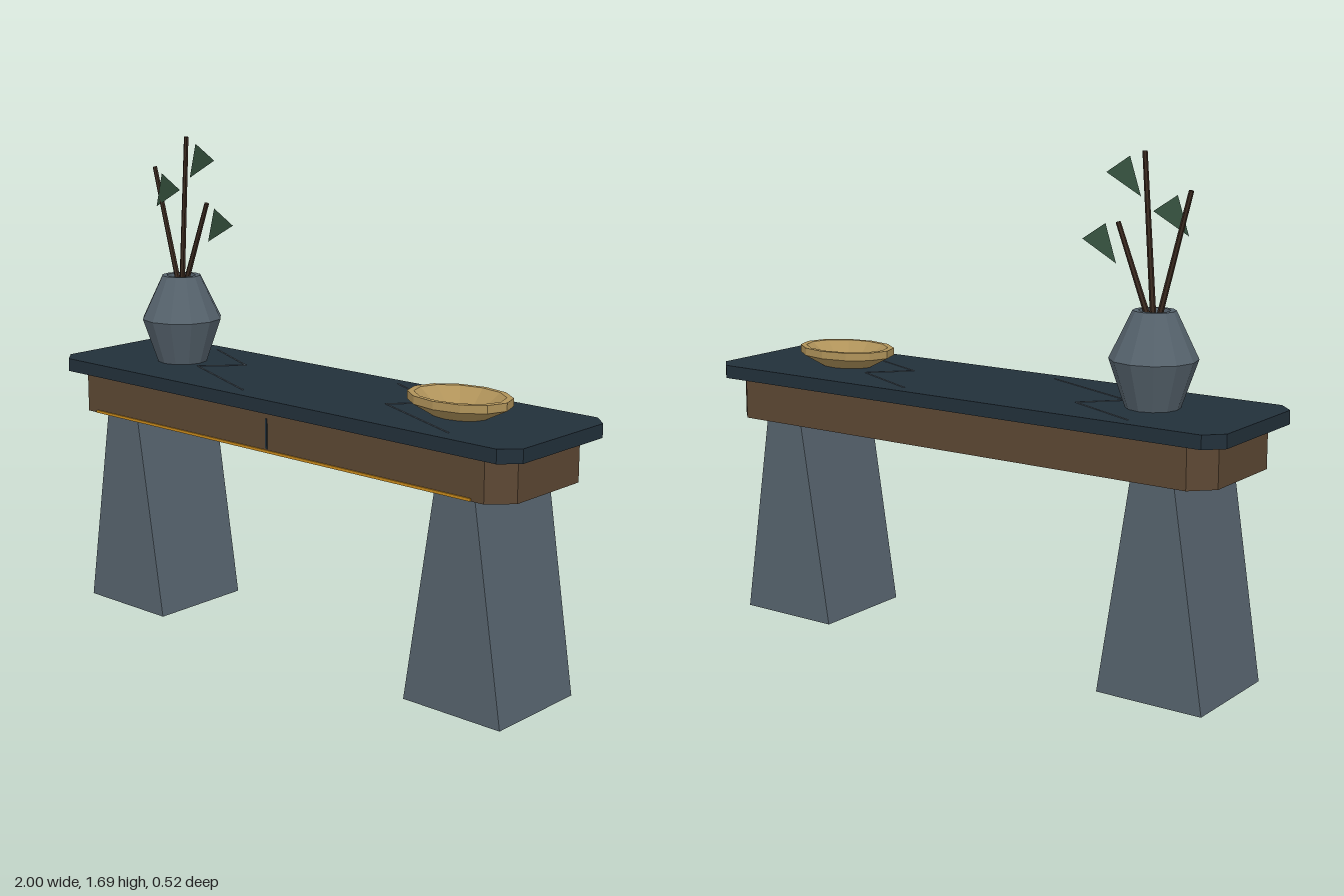
import * as THREE from 'three';

const mat = (name, color, extra = {}) => {
  const m = new THREE.MeshStandardMaterial({ color, ...extra });
  m.name = name;
  return m;
};

export function createModel() {
  const root = new THREE.Group();
  root.name = 'consoleTable';
  const flat = { flatShading: true };
  const slate = mat('slate', 0x56636d, flat);
  const navy = mat('darkTop', 0x22303a, flat);
  const wood = mat('wood', 0x5c4733, flat);
  const brass = mat('brass', 0xb0935a, { flatShading: true, side: THREE.DoubleSide });
  const amber = mat('amberTrim', 0xc98a1b, flat);
  const twigBrown = mat('twigBrown', 0x3a2a20, flat);
  const leafGreen = mat('leafGreen', 0x36523f, { flatShading: true, side: THREE.DoubleSide });

  const add = (name, geo, material, x = 0, y = 0, z = 0, parent = root) => {
    const m = new THREE.Mesh(geo, material);
    m.name = name;
    m.position.set(x, y, z);
    parent.add(m);
    return m;
  };

  // Slab with cut corners, standing on y = 0
  const slab = (hx, hz, cut, height) => {
    const pts = [
      [hx - cut, -hz], [hx, cut - hz], [hx, hz - cut], [hx - cut, hz],
      [cut - hx, hz], [-hx, hz - cut], [-hx, cut - hz], [cut - hx, -hz],
    ].map(([x, y]) => new THREE.Vector2(x, y));
    return new THREE.ExtrudeGeometry(new THREE.Shape(pts), { depth: height, bevelEnabled: false })
      .rotateX(-Math.PI / 2);
  };
  add('tableTop', slab(1, 0.26, 0.055, 0.045), navy, 0, 0.85, 0);
  add('apron', slab(0.95, 0.228, 0.07, 0.14), wood, 0, 0.71, 0);

  // Front trim and drawer gap
  add('frontTrim', new THREE.BoxGeometry(1.666, 0.009, 0.008), amber, 0, 0.715, 0.229);
  add('drawerGap', new THREE.BoxGeometry(0.008, 0.1, 0.006), navy, 0, 0.774, 0.228);

  // Wedge legs, tapering along x only
  const legShape = new THREE.Shape(
    [[-0.188, 0], [0.188, 0], [0.076, 0.71], [-0.076, 0.71]].map(([x, y]) => new THREE.Vector2(x, y)));
  for (const [name, side] of [['leftLeg', 1], ['rightLeg', -1]]) {
    const geo = new THREE.ExtrudeGeometry(legShape, { depth: 0.38, bevelEnabled: false });
    add(name, geo.translate(0, 0, -0.19), slate, side * 0.742, 0, 0);
  }

  // Zigzag inlay lines on the top
  const zigzag = [[0.19, -0.21], [0.46, -0.082], [0.345, 0.04], [0.725, 0.202]];
  for (const shift of [0, -0.857]) {
    const inlay = new THREE.Group();
    inlay.name = 'zigzagInlay';
    root.add(inlay);
    for (let i = 0; i < 3; i++) {
      const [[x0, z0], [x1, z1]] = [zigzag[i], zigzag[i + 1]];
      const line = add('inlayLine', new THREE.BoxGeometry(Math.hypot(x1 - x0, z1 - z0), 0.003, 0.005),
        slate, (x0 + x1) / 2 + shift, 0.8955, (z0 + z1) / 2, inlay);
      line.rotation.y = -Math.atan2(z1 - z0, x1 - x0);
    }
  }

  // Faceted vase and oval bowl
  const lathe = (pts) => new THREE.LatheGeometry(pts.map(([r, y]) => new THREE.Vector2(r, y)), 12);
  add('vase', lathe([[0, 0], [0.088, 0], [0.141, 0.153], [0.068, 0.305], [0.05, 0.305], [0.04, 0.22], [0, 0.22]]),
    slate, -0.63, 0.895, 0);
  add('bowl', lathe([[0, 0], [0.1, 0], [0.18, 0.04], [0.18, 0.066], [0.157, 0.066], [0.095, 0.018], [0, 0.018]]),
    brass, 0.61, 0.895, 0).scale.z = 0.745;

  // Twigs rising from the vase
  const base = new THREE.Vector3(-0.63, 1.116, 0);
  for (const tip of [[-0.743, 1.572, 0.012], [-0.575, 1.685, 0.018], [-0.489, 1.463, 0.008]]) {
    const end = new THREE.Vector3(...tip);
    const dir = end.clone().sub(base);
    const mid = base.clone().add(end).multiplyScalar(0.5);
    const twig = add('twig', new THREE.CylinderGeometry(0.008, 0.01, dir.length(), 6), twigBrown, mid.x, mid.y, mid.z);
    twig.quaternion.setFromUnitVectors(new THREE.Vector3(0, 1, 0), dir.normalize());
  }

  // Flat triangular leaves, positioned by their lower tip
  for (const [x, y] of [[-0.738, 1.433], [-0.567, 1.545], [-0.481, 1.332]]) {
    const geo = new THREE.BufferGeometry();
    geo.setAttribute('position', new THREE.Float32BufferAttribute(
      [0, 0, 0.012, 0.134, 0.068, 0.025, 0.055, 0.121, 0.035], 3));
    geo.computeVertexNormals();
    add('leaf', geo, leafGreen, x, y, 0);
  }
  return root;
}
